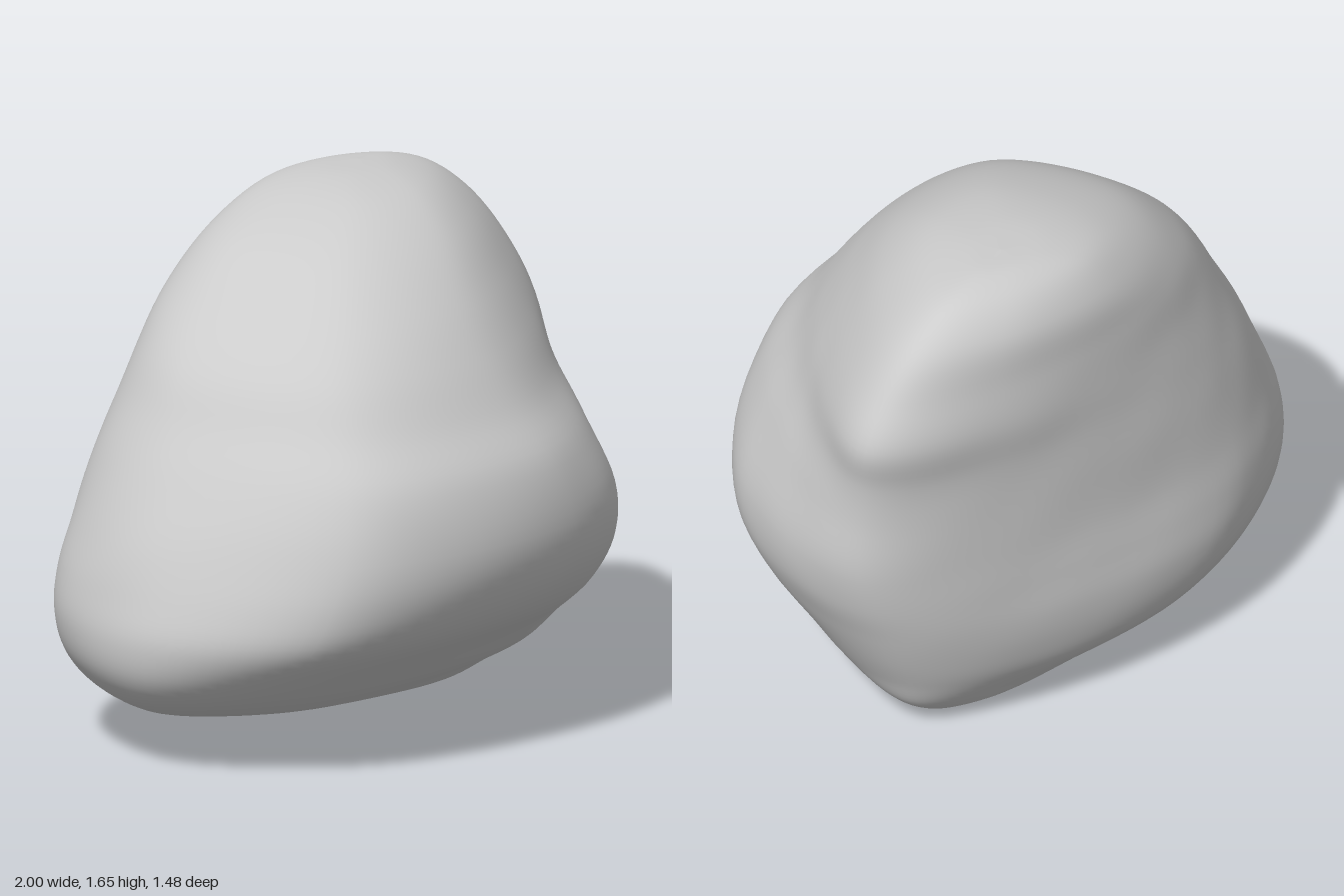
import * as THREE from 'three';

// Horizontal sections, bottom to top: height, then x,z of the
// left-most, front-most, right-most and back-most points.
const LEVELS = [
  [0.005, 0.30, -0.18, 0.48, -0.10, 0.60, -0.18, 0.45, -0.26],
  [0.03, 0.12, -0.22, 0.45, 0.00, 0.66, -0.18, 0.38, -0.35],
  [0.10, -0.58, -0.22, 0.38, 0.13, 0.75, -0.18, 0.05, -0.51],
  [0.20, -0.88, -0.08, 0.25, 0.33, 0.80, -0.18, -0.08, -0.65],
  [0.30, -0.975, -0.04, 0.12, 0.47, 0.85, -0.17, -0.15, -0.71],
  [0.42, -1.00, -0.03, 0.10, 0.63, 0.90, -0.16, -0.20, -0.735],
  [0.55, -0.97, -0.03, 0.15, 0.71, 0.95, -0.14, -0.25, -0.73],
  [0.70, -0.91, -0.05, 0.18, 0.735, 0.975, -0.13, -0.25, -0.705],
  [0.90, -0.80, -0.10, 0.12, 0.69, 0.972, -0.14, -0.20, -0.68],
  [1.05, -0.70, -0.15, 0.08, 0.58, 0.977, -0.15, -0.13, -0.655],
  [1.20, -0.60, -0.20, 0.07, 0.48, 0.995, -0.17, -0.03, -0.63],
  [1.35, -0.44, -0.25, 0.11, 0.36, 0.93, -0.19, 0.05, -0.61],
  [1.50, -0.24, -0.28, 0.21, 0.20, 0.83, -0.23, 0.20, -0.57],
  [1.60, 0.00, -0.28, 0.30, 0.03, 0.70, -0.26, 0.25, -0.50],
  [1.645, 0.20, -0.28, 0.37, -0.15, 0.55, -0.28, 0.34, -0.40],
];
const BOTTOM = new THREE.Vector3(0.47, 0, -0.17);
const TOP = new THREE.Vector3(0.40, 1.655, -0.28);
const AROUND = 96;
const UP = 90;

// Closed outline of one section; each quadrant gets a corner of its own fullness
function outline([y, lx, lz, fx, fz, rx, rz, bx, bz]) {
  const rise = THREE.MathUtils.smoothstep(y, 0.2, 1.2);
  const corner = (ax, az, cx, cz, px, pz, fullness) => new THREE.Vector3(
    THREE.MathUtils.lerp((ax + cx) / 2, px, fullness), y,
    THREE.MathUtils.lerp((az + cz) / 2, pz, fullness));
  return new THREE.CatmullRomCurve3([
    new THREE.Vector3(lx, y, lz),
    corner(lx, lz, fx, fz, lx, fz, 0.53 + 0.04 * rise),
    new THREE.Vector3(fx, y, fz),
    corner(fx, fz, rx, rz, rx, fz, 0.5 - 0.27 * rise),
    new THREE.Vector3(rx, y, rz),
    corner(rx, rz, bx, bz, rx, bz, 0.25 + 0.06 * rise),
    new THREE.Vector3(bx, y, bz),
    corner(bx, bz, lx, lz, lx, bz, 0.47 - 0.08 * rise),
  ], true);
}

// Gentle weathering of the surface
function weather(p) {
  const fade = Math.sin(Math.PI * THREE.MathUtils.clamp(p.y / 1.655, 0, 1));
  const bump = Math.sin(7 * p.x + 4 * p.y) * Math.sin(8 * p.y - 5 * p.z)
    + 0.5 * Math.sin(17 * p.x - 9 * p.z) * Math.sin(15 * p.y + 6 * p.x);
  const s = 1 + 0.003 * fade * bump;
  p.x *= s;
  p.z *= s;
  return p;
}

function boulderGeometry() {
  const outlines = LEVELS.map(outline);
  const positions = [];
  const indices = [];
  // One smooth rib from bottom to top for each step around
  for (let j = 0; j < AROUND; j++) {
    const rib = new THREE.CatmullRomCurve3(
      [BOTTOM, ...outlines.map((o) => o.getPoint(j / AROUND)), TOP]);
    for (let i = 0; i <= UP; i++) {
      const p = weather(rib.getPoint(i / UP));
      positions.push(p.x, Math.max(p.y, 0), p.z);
    }
  }
  for (let j = 0; j < AROUND; j++) {
    for (let i = 0; i < UP; i++) {
      const a = j * (UP + 1) + i;
      const b = ((j + 1) % AROUND) * (UP + 1) + i;
      if (i > 0) indices.push(a, b, a + 1);
      if (i < UP - 1) indices.push(b, b + 1, a + 1);
    }
  }
  const geometry = new THREE.BufferGeometry();
  geometry.setAttribute('position', new THREE.Float32BufferAttribute(positions, 3));
  geometry.setIndex(indices);
  geometry.computeVertexNormals();
  return geometry;
}

export function createModel() {
  const group = new THREE.Group();
  group.name = 'rock';
  const boulder = new THREE.Mesh(boulderGeometry(),
    new THREE.MeshStandardMaterial({ color: 0xcccccc }));
  boulder.name = 'boulder';
  group.add(boulder);
  return group;
}
